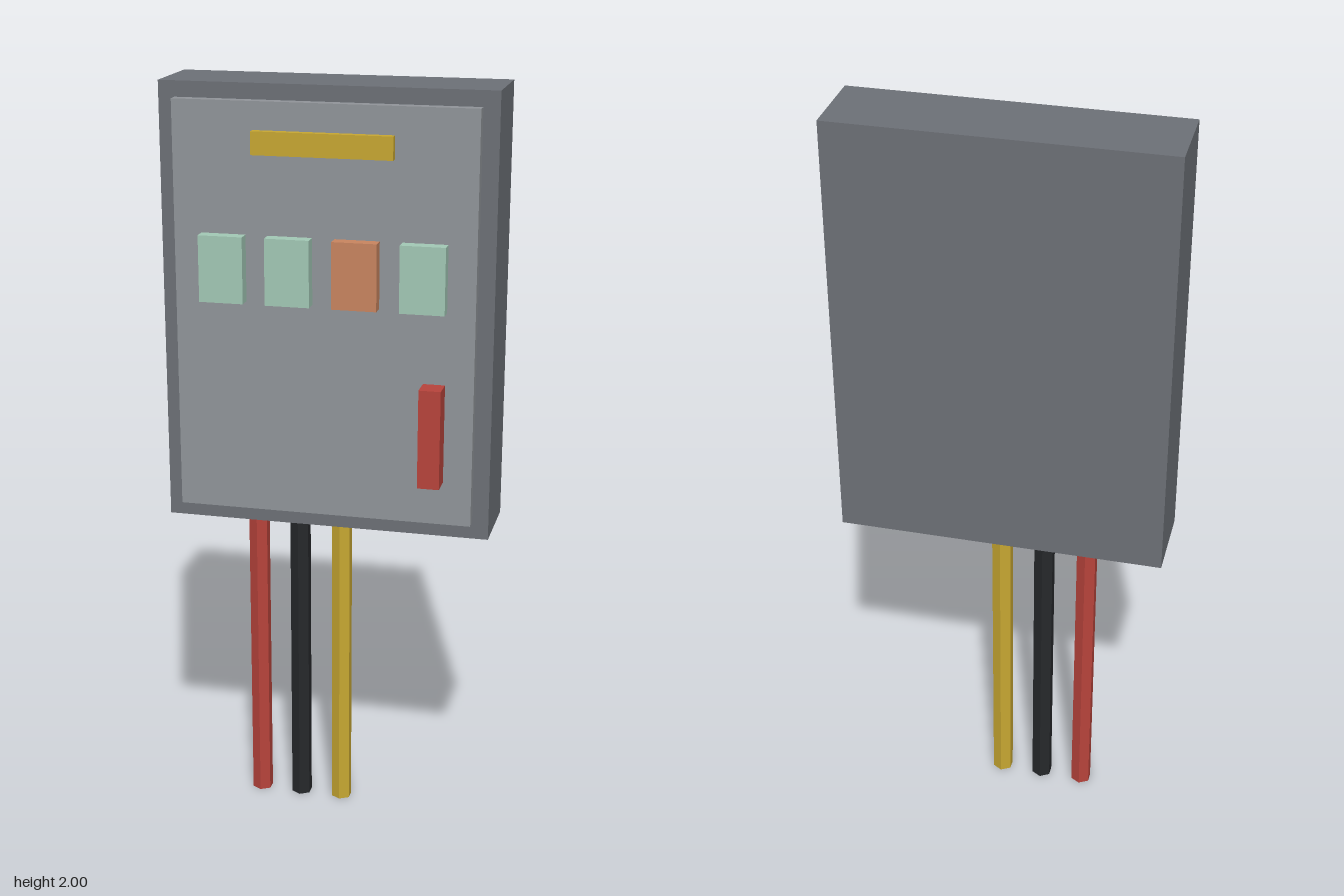
import * as THREE from 'three';

const mat = (name, color) => {
  const m = new THREE.MeshStandardMaterial({ color });
  m.name = name;
  return m;
};

export function createModel() {
  const group = new THREE.Group();
  const casingGrey = mat('casing grey', 0x6d7177);
  const doorGrey = mat('door grey', 0x91959a);
  const yellow = mat('yellow', 0xc8a832);
  const mint = mat('mint', 0xa3c9b6);
  const orange = mat('orange', 0xc98560);
  const red = mat('red', 0xb8443c);
  const black = mat('black', 0x26282b);

  // Box given by its lower and upper bounds on each axis
  const box = (name, material, [x0, x1], [y0, y1], [z0, z1]) => {
    const mesh = new THREE.Mesh(new THREE.BoxGeometry(x1 - x0, y1 - y0, z1 - z0), material);
    mesh.position.set((x0 + x1) / 2, (y0 + y1) / 2, (z0 + z1) / 2);
    mesh.name = name;
    group.add(mesh);
  };

  // Cabinet and raised door
  const doorFront = 0.091;
  box('cabinet', casingGrey, [-0.427, 0.427], [0.86, 2], [-0.15, 0.062]);
  box('door', doorGrey, [-0.385, 0.385], [0.903, 1.96], [0.062, doorFront]);

  // Label strip, row of indicators and handle
  box('labelStrip', yellow, [-0.178, 0.178], [1.832, 1.89], [doorFront, 0.112]);
  [mint, mint, orange, mint].forEach((material, i) => {
    const x = -0.2565 + i * 0.171;
    box(`indicator${i + 1}`, material, [x - 0.057, x + 0.057], [1.46, 1.63], [doorFront, 0.126]);
  });
  box('handle', red, [0.256, 0.312], [1.017, 1.274], [doorFront, 0.15]);

  // Six-sided cables hanging below the cabinet
  const cableGeometry = new THREE.CylinderGeometry(0.0285, 0.0285, 0.87, 6).toNonIndexed();
  cableGeometry.computeVertexNormals();
  [['redCable', red], ['blackCable', black], ['yellowCable', yellow]].forEach(([name, material], i) => {
    const cable = new THREE.Mesh(cableGeometry, material);
    cable.name = name;
    cable.position.set(-0.217 + i * 0.115, 0.435, -0.061);
    group.add(cable);
  });

  return group;
}
